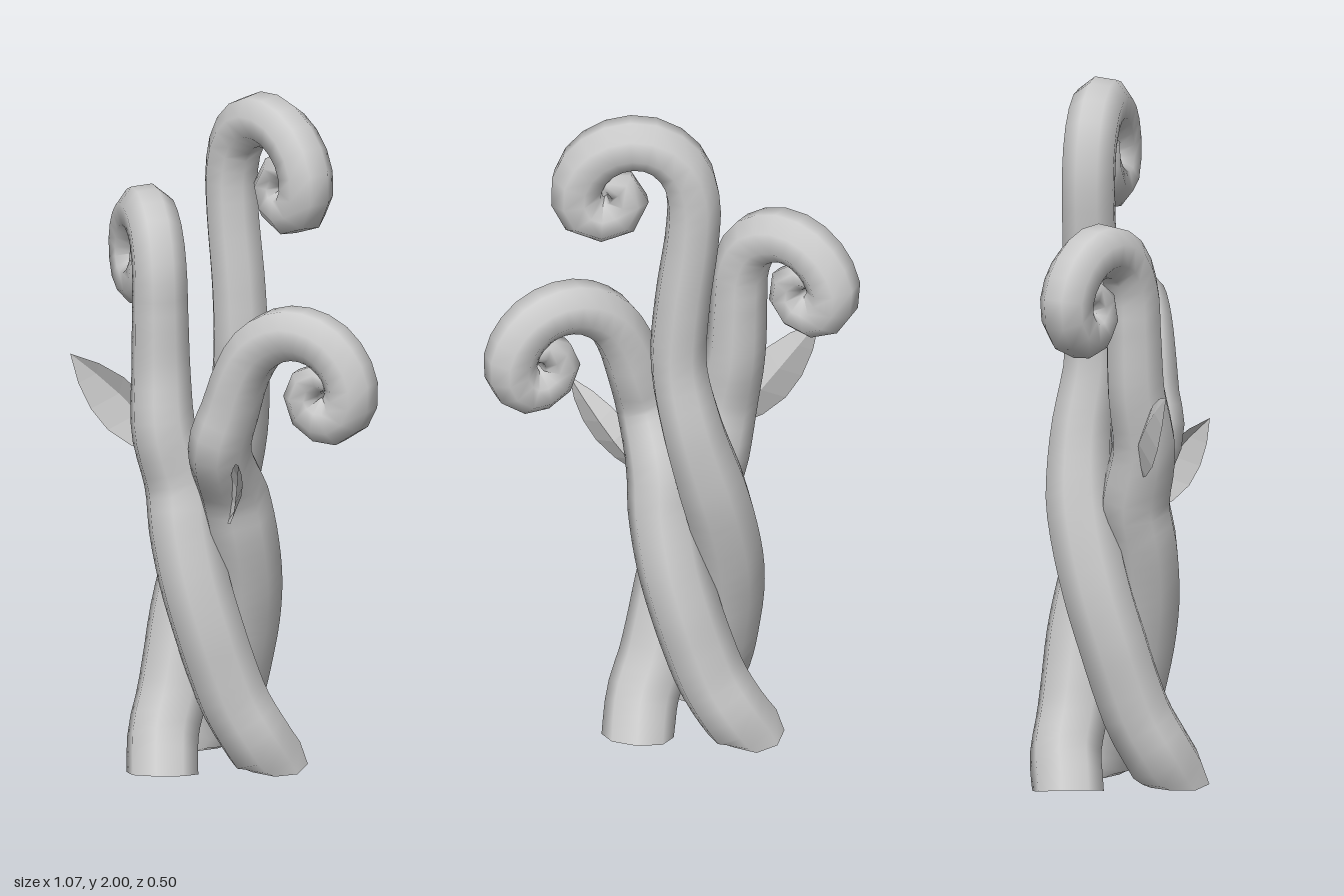
import * as THREE from 'three';

const material = new THREE.MeshStandardMaterial({ color: 0xcccccc, side: THREE.DoubleSide });

// Lower part of a stem: a spiral around the shared axis, spread out at the foot
function twist(startDegrees) {
  const rows = [[0, 0.19], [0.1, 0.152], [0.2, 0.115], [0.3, 0.1], [0.42, 0.097], [0.55, 0.096], [0.7, 0.094], [0.82, 0.094]];
  return rows.map(([y, spread]) => {
    const a = THREE.MathUtils.degToRad(startDegrees + 187 * y);
    return [-0.065 + spread * Math.cos(a), y, -0.04 + spread * Math.sin(a), 0.103];
  });
}

// Round stem through points [x, y, z, radius], with its foot cut level with the ground
function stem(name, points) {
  const curve = new THREE.CatmullRomCurve3(points.map(p => new THREE.Vector3(p[0], p[1], p[2])), false, 'centripetal');
  curve.arcLengthDivisions = 600;
  const rings = 52, sides = 8;
  const geometry = new THREE.TubeGeometry(curve, rings, 1, sides);
  const pos = geometry.attributes.position;
  const v = new THREE.Vector3();
  for (let i = 0; i <= rings; i++) {
    const u = i / rings;
    const centre = curve.getPointAt(u);
    const f = curve.getUtoTmapping(u) * (points.length - 1);
    const k = Math.min(Math.floor(f), points.length - 2);
    const radius = THREE.MathUtils.lerp(points[k][3], points[k + 1][3], f - k);
    for (let j = 0; j <= sides; j++) {
      const n = i * (sides + 1) + j;
      v.fromBufferAttribute(pos, n).sub(centre).multiplyScalar(radius).add(centre);
      pos.setXYZ(n, v.x, i === 0 ? Math.max(0, v.y) * 0.3 : Math.max(0.012, v.y), v.z);
    }
  }
  const mesh = new THREE.Mesh(geometry, material);
  mesh.name = name;
  return mesh;
}

// Pointed leaf folded along its midrib; side is the half width at the middle
function leaf(name, base, tip, side, fold) {
  const a = new THREE.Vector3(...base), b = new THREE.Vector3(...tip);
  const s = new THREE.Vector3(...side), d = new THREE.Vector3(...fold);
  const widths = [0.2, 0.75, 1, 0.92, 0.58, 0];
  const positions = [], index = [];
  widths.forEach((w, i) => {
    const t = i / (widths.length - 1);
    for (const q of [-1, 0, 1]) {
      const p = a.clone().lerp(b, t).addScaledVector(s, q * w);
      if (q === 0) p.addScaledVector(d, w);
      positions.push(p.x, p.y, p.z);
    }
    if (i === 0) return;
    for (let j = 0; j < 2; j++) {
      const m = (i - 1) * 3 + j;
      index.push(m, m + 1, m + 3, m + 1, m + 4, m + 3);
    }
  });
  const geometry = new THREE.BufferGeometry();
  geometry.setAttribute('position', new THREE.Float32BufferAttribute(positions, 3));
  geometry.setIndex(index);
  const flat = geometry.toNonIndexed();
  flat.computeVertexNormals();
  const mesh = new THREE.Mesh(flat, material);
  mesh.name = name;
  return mesh;
}

export function createModel() {
  const group = new THREE.Group();
  group.name = 'twistedVines';

  // Curl outlines as [x, y, radius]; each lies in its own upright plane
  const tall = [
    [-0.02, 1.2, 0.083], [-0.03, 1.4, 0.081], [-0.058, 1.62, 0.079], [-0.062, 1.74, 0.079], [-0.035, 1.84, 0.079],
    [0.03, 1.905, 0.079], [0.11, 1.922, 0.079], [0.19, 1.897, 0.079], [0.25, 1.835, 0.079], [0.269, 1.755, 0.079],
    [0.235, 1.69, 0.078], [0.17, 1.682, 0.071], [0.126, 1.72, 0.063], [0.13, 1.772, 0.053], [0.172, 1.797, 0.041],
    [0.208, 1.775, 0.028], [0.195, 1.75, 0.01]
  ].map(([x, y, r]) => [x, y, -0.108, r]);

  const left = [
    [-0.147, 0.98, 0.095], [-0.178, 1.15, 0.086], [-0.187, 1.32, 0.082], [-0.195, 1.44, 0.08], [-0.235, 1.53, 0.079],
    [-0.315, 1.569, 0.079], [-0.392, 1.545, 0.079], [-0.445, 1.48, 0.078], [-0.458, 1.41, 0.077], [-0.42, 1.349, 0.076],
    [-0.365, 1.345, 0.07], [-0.33, 1.385, 0.061], [-0.337, 1.435, 0.051], [-0.377, 1.457, 0.039], [-0.412, 1.435, 0.027],
    [-0.4, 1.412, 0.01]
  ].map(([x, y, r]) => [x, y, 0.05 + 0.5 * (x + 0.19), r]);

  const right = [
    [0.072, 0.98, 0.09], [0.105, 1.1, 0.083], [0.135, 1.2, 0.08], [0.18, 1.285, 0.079], [0.25, 1.338, 0.079],
    [0.32, 1.348, 0.079], [0.39, 1.322, 0.079], [0.444, 1.255, 0.078], [0.457, 1.18, 0.077], [0.42, 1.116, 0.076],
    [0.36, 1.113, 0.07], [0.321, 1.155, 0.062], [0.33, 1.208, 0.052], [0.372, 1.23, 0.04], [0.408, 1.205, 0.027],
    [0.396, 1.182, 0.01]
  ].map(([x, y, r]) => [x, y, 0.036 - 0.43 * (x - 0.1), r]);

  // Three intertwined stems; each foot starts a third of a turn apart
  group.add(
    stem('tallStem', [...twist(88), [-0.06, 1.0, -0.13, 0.092], ...tall]),
    stem('rightCurlStem', [...twist(208), ...right]),
    stem('leftCurlStem', [...twist(-32), ...left])
  );

  // Leaves on the front
  group.add(
    leaf('leafOnLeftCurlStem', [-0.165, 0.91, 0.06], [-0.413, 1.17, 0.195], [0.055, 0.06, -0.02], [0.015, -0.005, -0.035]),
    leaf('leafOnRightCurlStem', [0.09, 0.765, 0.035], [0.295, 1.0, 0.165], [-0.047, 0.042, -0.035], [-0.005, -0.005, -0.04])
  );
  return group;
}
